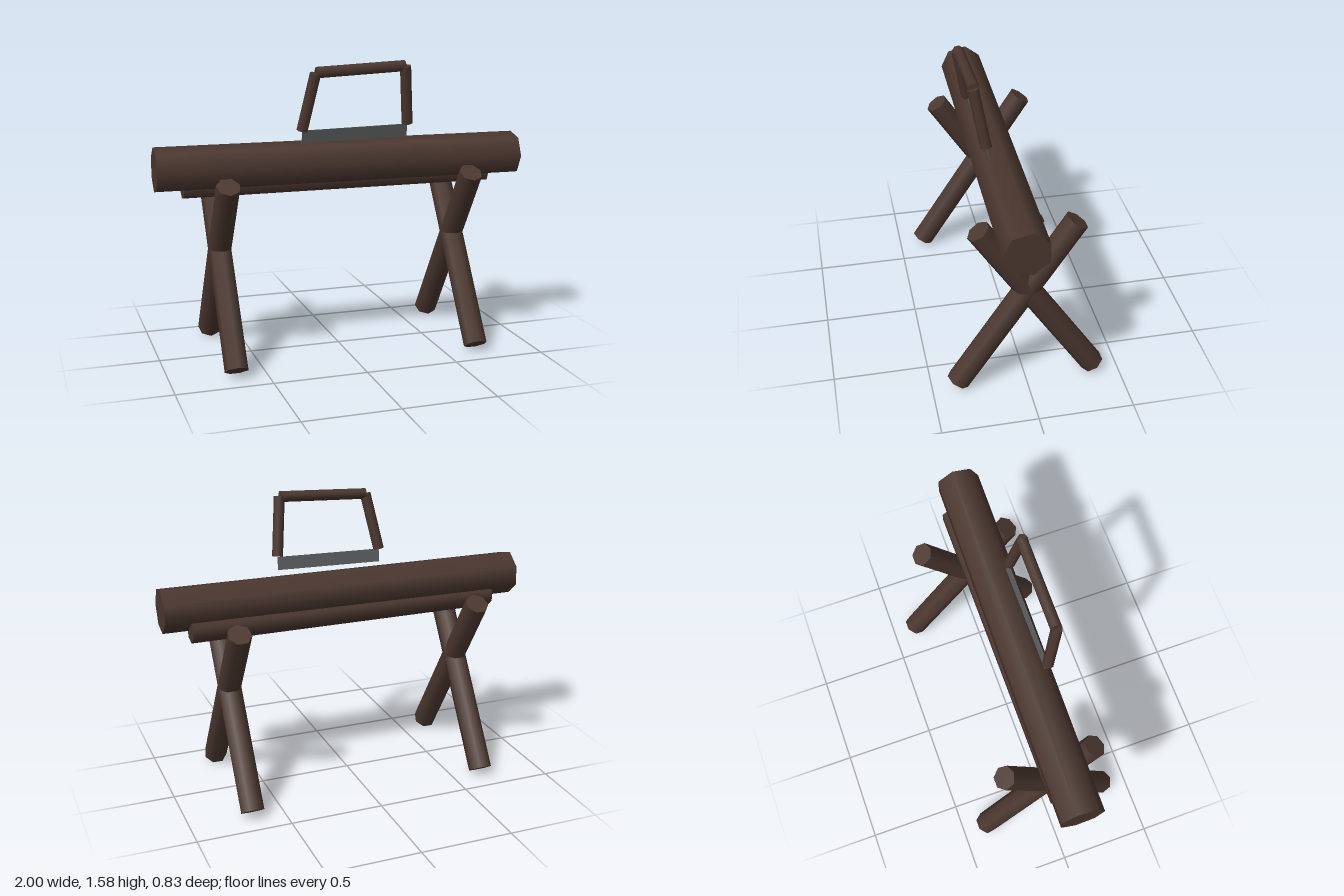
import * as THREE from 'three';

const wood = new THREE.MeshStandardMaterial({ name: 'dark brown wood', color: 0x4b372f });
const steel = new THREE.MeshStandardMaterial({ name: 'grey steel', color: 0x5c5e5f });
const UP = new THREE.Vector3(0, 1, 0);

// Seven-sided smooth pole between two points
function pole(name, radius, from, to) {
  const a = new THREE.Vector3(...from);
  const b = new THREE.Vector3(...to);
  const dir = b.clone().sub(a);
  const mesh = new THREE.Mesh(new THREE.CylinderGeometry(radius, radius, dir.length(), 7), wood);
  mesh.name = name;
  mesh.position.copy(a).add(b).multiplyScalar(0.5);
  mesh.quaternion.setFromUnitVectors(UP, dir.normalize());
  return mesh;
}

export function createModel() {
  const model = new THREE.Group();
  model.name = 'sawhorse';

  // Crossed legs at both ends
  for (const [side, x] of [['right', -0.658], ['left', 0.672]]) {
    const trestle = new THREE.Group();
    trestle.name = side + 'Trestle';
    for (const s of [1, -1]) {
      const name = s > 0 ? 'frontFootLeg' : 'backFootLeg';
      trestle.add(pole(name, 0.064, [x, 0.04, s * 0.364 - 0.002], [x, 0.975, -s * 0.247 - 0.002]));
    }
    model.add(trestle);
  }

  // Log resting on the trestles, with a thinner rail under it
  model.add(pole('log', 0.1205, [-0.999, 1.041, 0.039], [0.999, 1.041, 0.072]));
  model.add(pole('lowerRail', 0.068, [-0.85, 0.941, -0.005], [0.865, 0.941, -0.003]));

  // Bow saw leaning on the log
  const saw = new THREE.Group();
  saw.name = 'bowSaw';
  saw.add(pole('rightSawArm', 0.03, [-0.24, 1.227, 0.136], [-0.182, 1.527, 0.192]));
  saw.add(pole('leftSawArm', 0.03, [0.342, 1.243, 0.139], [0.307, 1.553, 0.196]));
  saw.add(pole('sawHandle', 0.03, [-0.178, 1.53, 0.188], [0.304, 1.553, 0.19]));

  const blade = new THREE.Mesh(new THREE.BoxGeometry(0.583, 0.07, 0.003), steel);
  blade.name = 'sawBlade';
  blade.position.set(0.052, 1.199, 0.129);
  blade.rotation.set(0.18, 0, 0.022);
  saw.add(blade);
  model.add(saw);

  return model;
}
